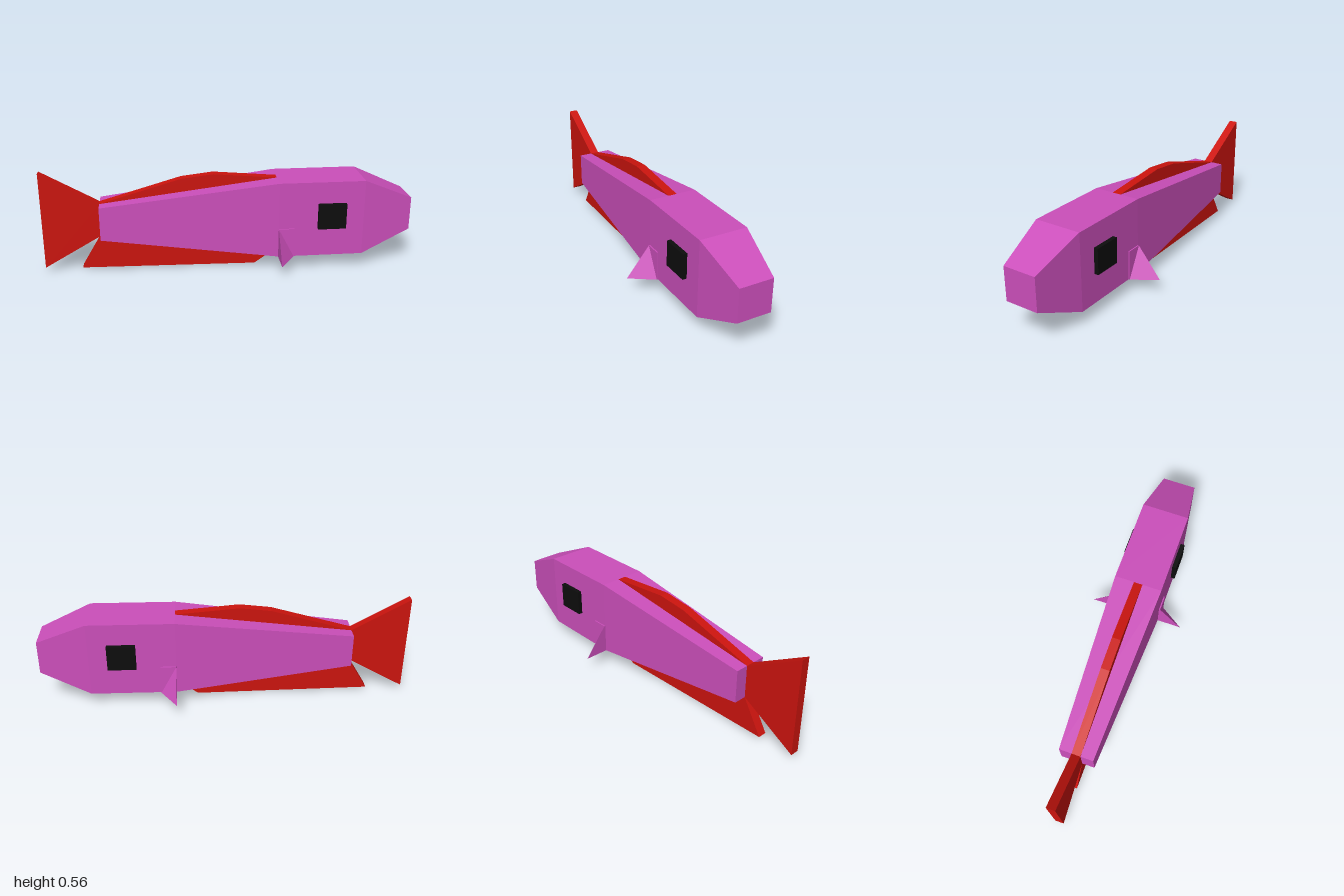
import * as THREE from 'three';

const material = (color) => new THREE.MeshStandardMaterial({ color, flatShading: true });
const purple = material(0xcc4fbb);
const red = material(0xcc140e);
const black = material(0x0d0d0d);

function part(name, geometry, mat) {
  const mesh = new THREE.Mesh(geometry, mat);
  mesh.name = name;
  return mesh;
}

// Rectangular rings [x, bottom, top, halfWidth] joined along x
function loft(rings) {
  const pos = rings.flatMap(([x, y0, y1, w]) => [x, y0, w, x, y0, -w, x, y1, -w, x, y1, w]);
  const index = [0, 3, 2, 0, 2, 1];
  for (let r = 0; r < rings.length - 1; r++) {
    for (let k = 0; k < 4; k++) {
      const a = r * 4 + k, b = r * 4 + (k + 1) % 4;
      index.push(a, b, b + 4, a, b + 4, a + 4);
    }
  }
  const e = (rings.length - 1) * 4;
  index.push(e, e + 1, e + 2, e, e + 2, e + 3);
  const g = new THREE.BufferGeometry();
  g.setAttribute('position', new THREE.Float32BufferAttribute(pos, 3));
  g.setIndex(index);
  const flat = g.toNonIndexed();
  flat.computeVertexNormals();
  return flat;
}

// Slab fin cut from an outline in the x-y plane
function slab(points, depth = 0.048) {
  const shape = new THREE.Shape(points.map(([x, y]) => new THREE.Vector2(x, y)));
  return new THREE.ExtrudeGeometry(shape, { depth, bevelEnabled: false }).translate(0, 0, -depth / 2);
}

// Side fin: a thin block with its rear lower outer corner drawn out to a point
function sideFin(side) {
  const x0 = 0.265, x1 = 0.35, y0 = 0.08, y1 = 0.242, inner = 0.12, outer = 0.137, tip = 0.267;
  const pos = [];
  for (const z of [inner, outer]) {
    pos.push(x0, y0, side * (z === outer ? tip : z), x1, y0, side * z, x1, y1, side * z, x0, y1, side * z);
  }
  const index = [4, 5, 7, 5, 6, 7, 0, 2, 1, 0, 3, 2];
  for (let k = 0; k < 4; k++) {
    const n = (k + 1) % 4;
    index.push(k, n, n + 4, k, n + 4, k + 4);
  }
  // Mirroring turns the faces over, so swap the corner order back
  if (side < 0) for (let i = 0; i < index.length; i += 3) [index[i], index[i + 1]] = [index[i + 1], index[i]];
  const g = new THREE.BufferGeometry();
  g.setAttribute('position', new THREE.Float32BufferAttribute(pos, 3));
  g.setIndex(index);
  const flat = g.toNonIndexed();
  flat.computeVertexNormals();
  return flat;
}

export function createModel() {
  const fish = new THREE.Group();
  fish.name = 'fish';

  // Body tapering to a blunt nose and tail root
  fish.add(part('body', loft([
    [-0.69, 0.2, 0.383, 0.093],
    [0.265, 0.08, 0.5, 0.13],
    [0.73, 0.08, 0.5, 0.13],
    [1, 0.2, 0.383, 0.093],
  ]), purple));

  // Fins on the centre line
  fish.add(part('tailFin', slab([[-1, 0.023], [-0.69, 0.2], [-0.69, 0.383], [-1, 0.56]]), red));
  fish.add(part('dorsalFin', slab([[-0.69, 0.383], [0.265, 0.5], [-0.08, 0.53], [-0.25, 0.51]]), red));
  fish.add(part('bellyFin', slab([[-0.8, 0.015], [0.15, 0], [0.265, 0.08], [-0.69, 0.2]]), red));

  // Eyes and side fins
  for (const side of [1, -1]) {
    const label = side > 0 ? 'front' : 'back';
    const eye = part(label + 'Eye', new THREE.BoxGeometry(0.152, 0.14, 0.033), black);
    eye.position.set(0.553, 0.31, side * 0.1365);
    fish.add(eye, part(label + 'SideFin', sideFin(side), purple));
  }
  return fish;
}
